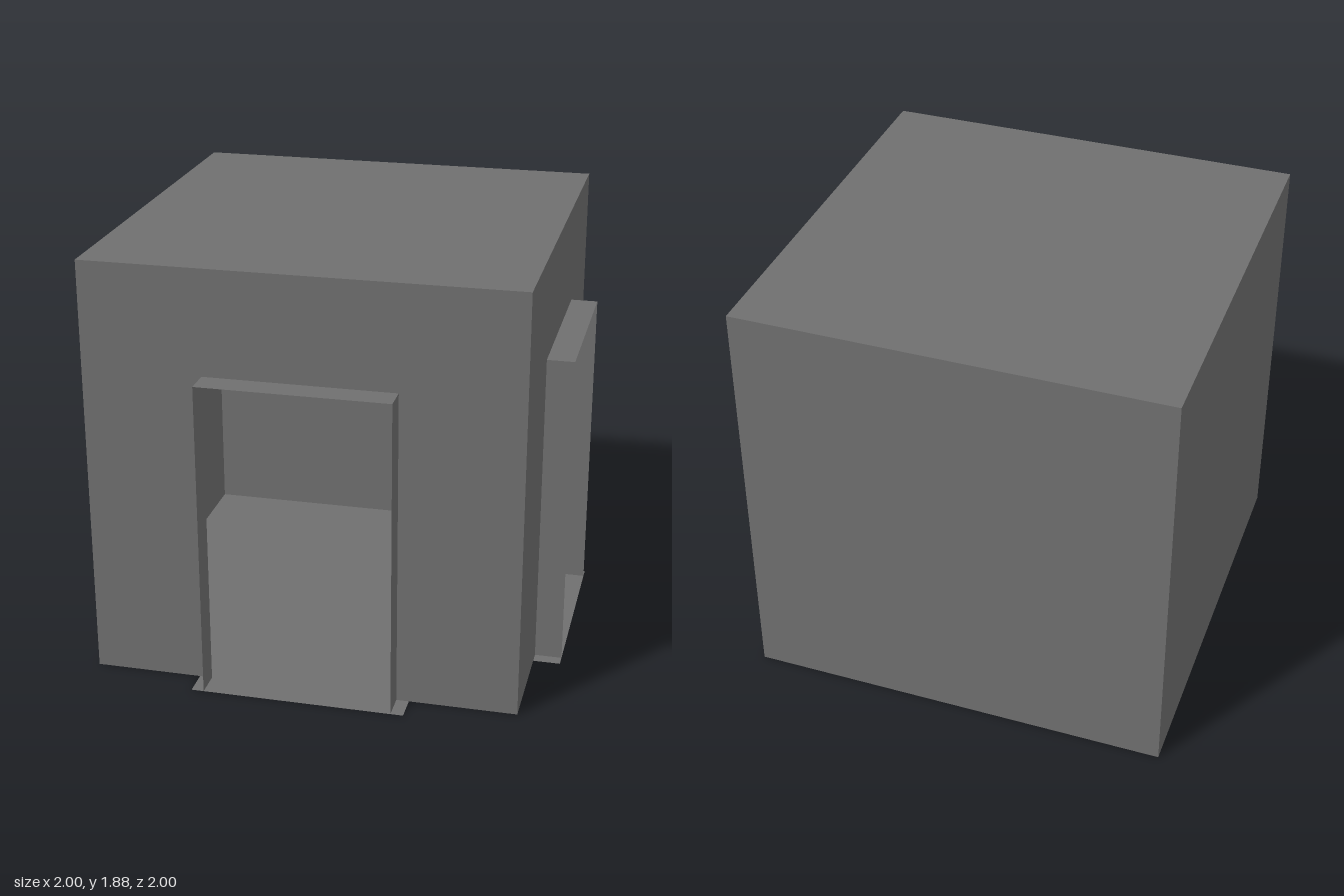
import * as THREE from 'three';

const MIN = -1, MAX = 0.88, TOP = 1.88;            // room extents
const DOOR_L = -0.475, DOOR_R = 0.355, DOOR_H = 1.415;
const PORCH = 1, SILL = 0.055;                     // doorway reach, sill overhang

const material = new THREE.MeshStandardMaterial({
  color: 0x6f6f6f, flatShading: true, side: THREE.DoubleSide,
});

const outline = (points) => new THREE.Shape(points.map(([x, y]) => new THREE.Vector2(x, y)));

function add(parent, name, geometry, x = 0, y = 0, z = 0) {
  const mesh = new THREE.Mesh(geometry, material);
  mesh.name = name;
  mesh.position.set(x, y, z);
  parent.add(mesh);
}

// One doorway wall, its projecting frame and the plain wall opposite
function wallPair(name) {
  const group = new THREE.Group();
  group.name = name;

  add(group, 'doorwayWall', new THREE.ShapeGeometry(outline([
    [MIN, 0], [DOOR_L, 0], [DOOR_L, DOOR_H], [DOOR_R, DOOR_H],
    [DOOR_R, 0], [MAX, 0], [MAX, TOP], [MIN, TOP],
  ])), 0, 0, MAX);

  add(group, 'plainWall', new THREE.ShapeGeometry(outline([
    [MIN, 0], [MIN, TOP], [MAX, TOP], [MAX, 0],
  ])), 0, 0, MIN);

  // Door frame of thin sheets: two jambs and a lintel
  const depth = PORCH - MAX, frameZ = (PORCH + MAX) / 2;
  for (const [jamb, x] of [['rightJamb', DOOR_L], ['leftJamb', DOOR_R]]) {
    add(group, jamb, new THREE.PlaneGeometry(depth, DOOR_H).rotateY(Math.PI / 2), x, DOOR_H / 2, frameZ);
  }
  add(group, 'lintel', new THREE.PlaneGeometry(DOOR_R - DOOR_L, depth).rotateX(-Math.PI / 2),
    (DOOR_L + DOOR_R) / 2, DOOR_H, frameZ);
  return group;
}

export function createModel() {
  const model = new THREE.Group();
  model.name = 'room';

  model.add(wallPair('frontAndBackWalls'));

  // The side walls are the same pair with x and z exchanged
  const sides = wallPair('sideWalls');
  sides.rotation.y = Math.PI / 2;
  sides.scale.x = -1;
  model.add(sides);

  // Floor with a sill tab under each doorway (drawn in x and z, then laid flat)
  const a = DOOR_L - SILL, b = DOOR_R + SILL;
  const floor = new THREE.ShapeGeometry(outline([
    [MIN, MIN], [MAX, MIN], [MAX, a], [PORCH, a], [PORCH, b], [MAX, b],
    [MAX, MAX], [b, MAX], [b, PORCH], [a, PORCH], [a, MAX], [MIN, MAX],
  ]));
  add(model, 'floor', floor.rotateX(Math.PI / 2));

  // Flat roof
  const span = MAX - MIN, mid = (MAX + MIN) / 2;
  add(model, 'roof', new THREE.PlaneGeometry(span, span).rotateX(-Math.PI / 2), mid, TOP, mid);

  return model;
}
